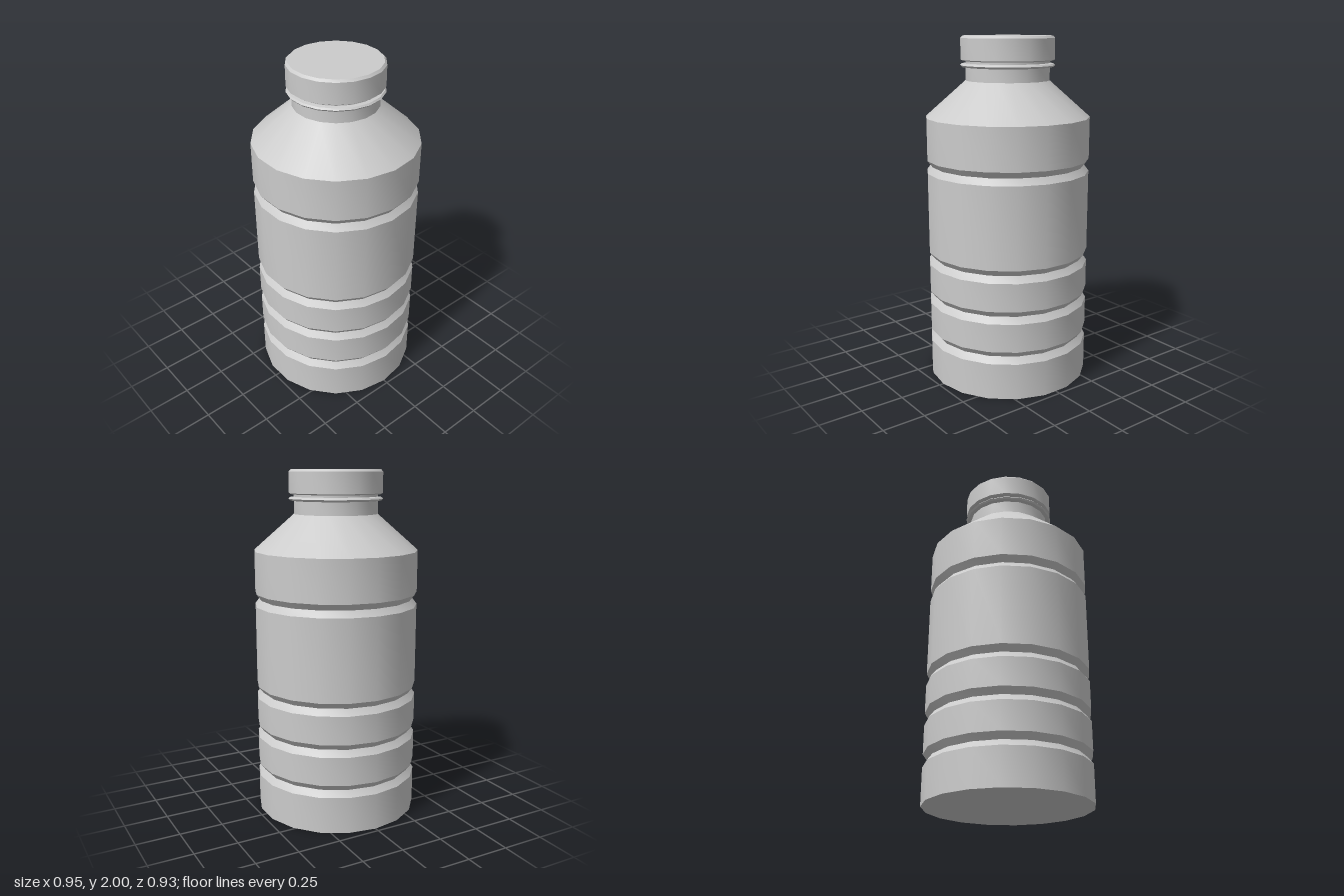
import * as THREE from 'three';
import { toCreasedNormals } from 'three/addons/utils/BufferGeometryUtils.js';

const SIDES = 18;
const R = 0.473;

// Revolve a bottom-to-top profile of [radius, height], smooth around and sharp between bands
function lathe(name, profile, material) {
  const points = profile.map(([r, y]) => new THREE.Vector2(r, y));
  const geometry = new THREE.LatheGeometry(points, SIDES, Math.PI / 2);
  const mesh = new THREE.Mesh(toCreasedNormals(geometry, 0.48), material);
  mesh.name = name;
  return mesh;
}

export function createModel() {
  const group = new THREE.Group();
  group.name = 'bottle';
  const material = new THREE.MeshStandardMaterial({ color: 0xcccccc });

  // Body with V-shaped grooves, then the sloping shoulder
  const body = [[0, 0], [R, 0]];
  for (const y of [0.249, 0.488, 0.726, 1.27]) {
    body.push([R, y - 0.037], [R - 0.028, y], [R, y + 0.036]);
  }
  body.push([R, 1.547], [0.24, 1.752]);
  group.add(lathe('body', body, material));

  // Neck with its thin collar ring
  group.add(lathe('neck', [
    [0.24, 1.752], [0.24, 1.825], [0.262, 1.828], [0.27, 1.837],
    [0.262, 1.846], [0.24, 1.849], [0.24, 1.87],
  ], material));

  // Screw cap with a small bevel on the top edge
  group.add(lathe('cap', [
    [0, 1.862], [0.258, 1.862], [0.268, 1.868], [0.268, 1.987], [0.256, 2], [0, 2],
  ], material));

  return group;
}
